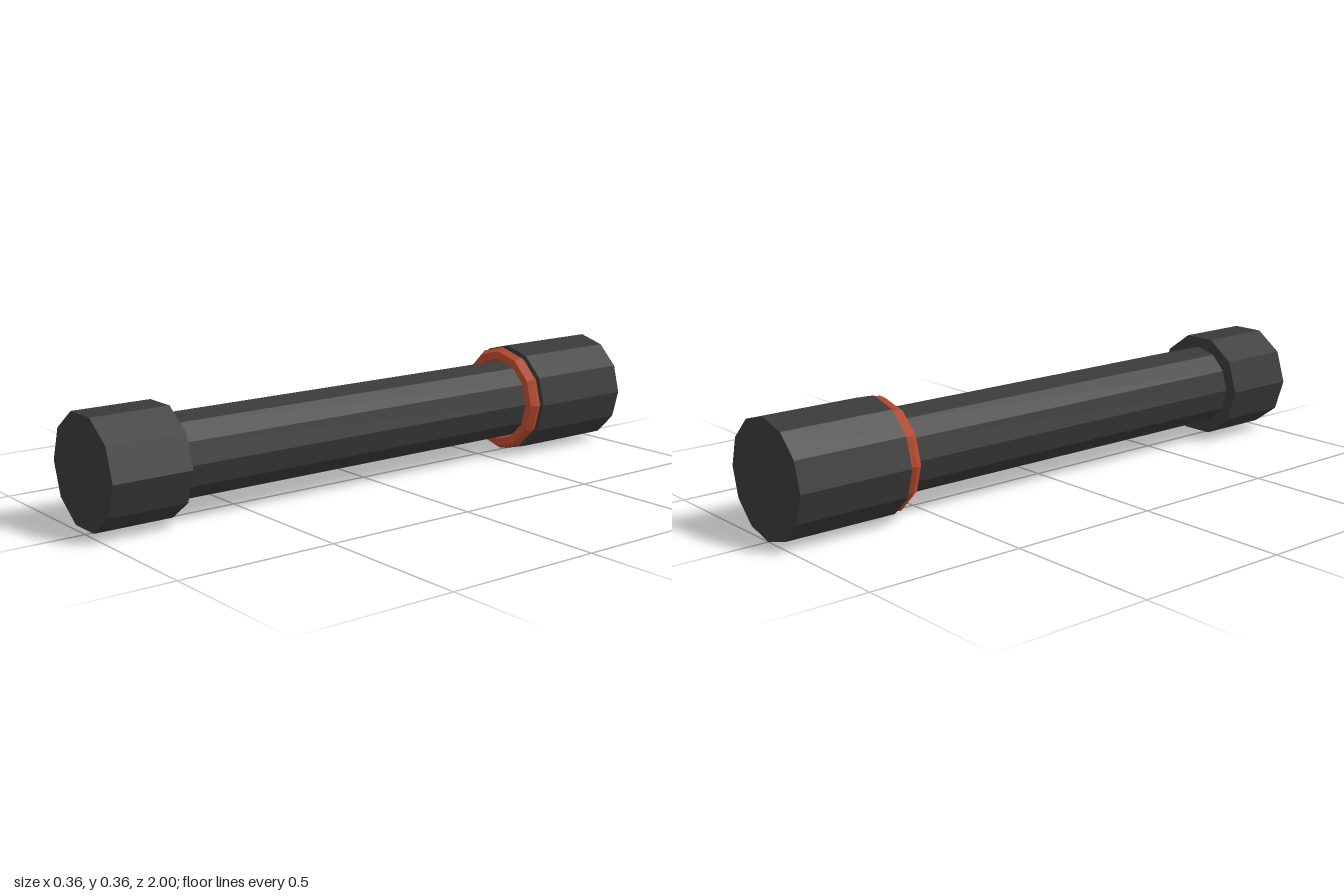
import * as THREE from 'three';

const AXIS_Y = 0.182;

export function createModel() {
  const model = new THREE.Group();
  const darkGrey = new THREE.MeshStandardMaterial({ color: 0x393939, flatShading: true });
  darkGrey.name = 'darkGrey';
  const rustOrange = new THREE.MeshStandardMaterial({ color: 0xb84a2e, flatShading: true });
  rustOrange.name = 'rustOrange';

  const add = (name, geometry, material, z) => {
    const mesh = new THREE.Mesh(geometry, material);
    mesh.name = name;
    mesh.position.set(0, AXIS_Y, z);
    model.add(mesh);
  };

  // Faceted cylinder along z, with one corner on the x axis
  const barrel = (name, radius, sides, zBack, zFront) => {
    const geometry = new THREE.CylinderGeometry(radius, radius, zFront - zBack, sides, 1, false, Math.PI / 2);
    geometry.rotateX(Math.PI / 2);
    add(name, geometry, darkGrey, (zBack + zFront) / 2);
  };

  barrel('frontCap', 0.175, 10, 0.745, 1);
  barrel('shaft', 0.133, 12, -0.64, 0.75);
  barrel('rearHead', 0.182, 12, -1, -0.63);

  // Coloured ring with a hexagonal section, seated against the rear head
  add('ring', new THREE.TorusGeometry(0.153, 0.025, 6, 12), rustOrange, -0.608);

  return model;
}
